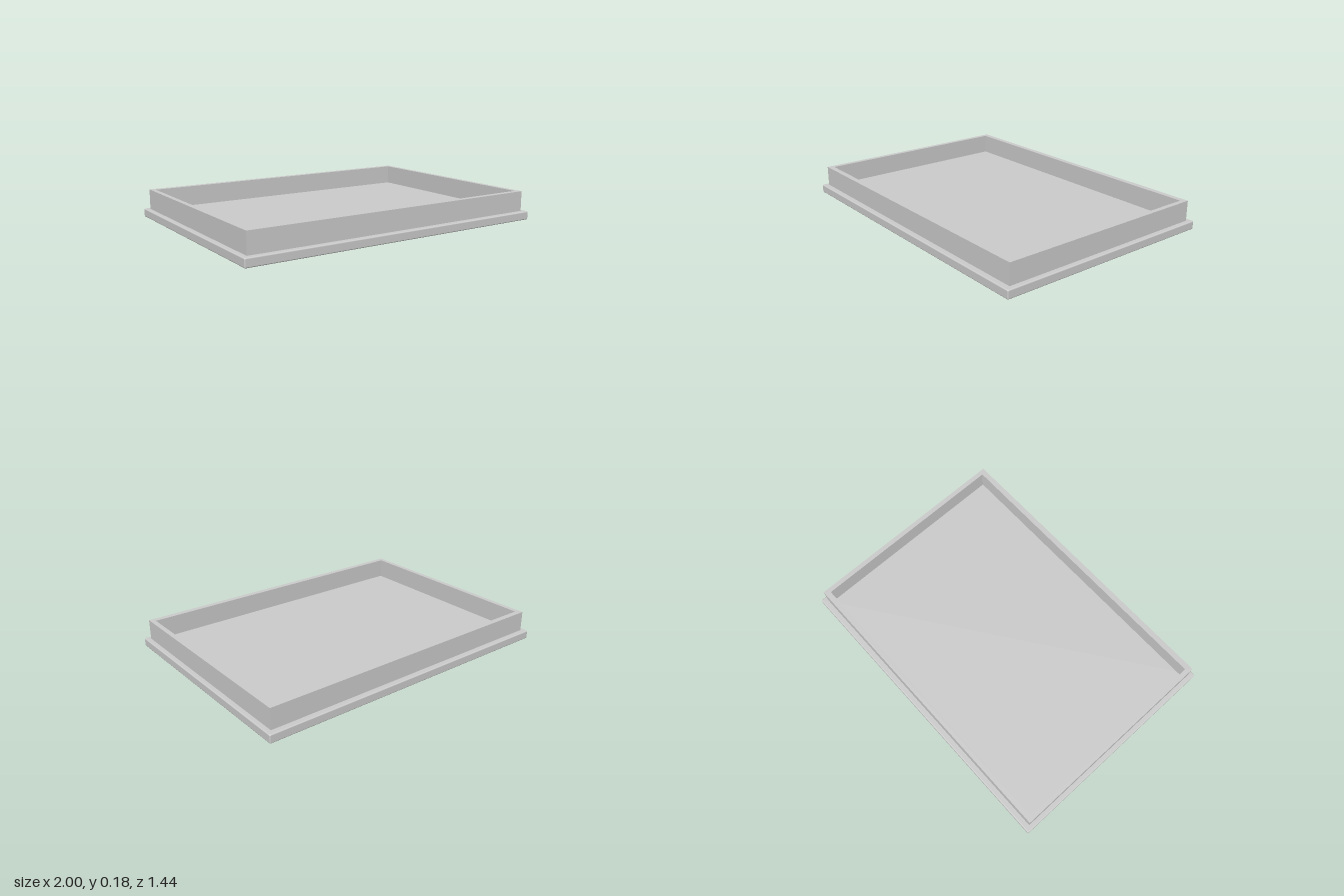
import * as THREE from 'three';
import { RoundedBoxGeometry } from 'three/addons/geometries/RoundedBoxGeometry.js';

// Rectangle outline centred on the origin
function rectangle(Type, w, d) {
  const x = w / 2, y = d / 2;
  return new Type([
    new THREE.Vector2(-x, -y), new THREE.Vector2(x, -y),
    new THREE.Vector2(x, y), new THREE.Vector2(-x, y),
  ]);
}

export function createModel() {
  const group = new THREE.Group();
  group.name = 'tray';
  const material = new THREE.MeshStandardMaterial({ color: 0xcccccc });
  const baseHeight = 0.053, totalHeight = 0.18;

  // Flat base slab with finely softened edges
  const base = new THREE.Mesh(new RoundedBoxGeometry(2, baseHeight, 1.44, 3, 0.007), material);
  base.name = 'basePlate';
  base.position.y = baseHeight / 2;
  group.add(base);

  // Upright rim: a thin rectangular frame, open at the top
  const outline = rectangle(THREE.Shape, 1.94, 1.37);
  outline.holes.push(rectangle(THREE.Path, 1.88, 1.3));
  const wallGeometry = new THREE.ExtrudeGeometry(outline, {
    depth: totalHeight - baseHeight + 0.005, bevelEnabled: false,
  });
  wallGeometry.rotateX(-Math.PI / 2);
  const wall = new THREE.Mesh(wallGeometry, material);
  wall.name = 'rimWall';
  wall.position.y = baseHeight - 0.005;
  group.add(wall);

  return group;
}
